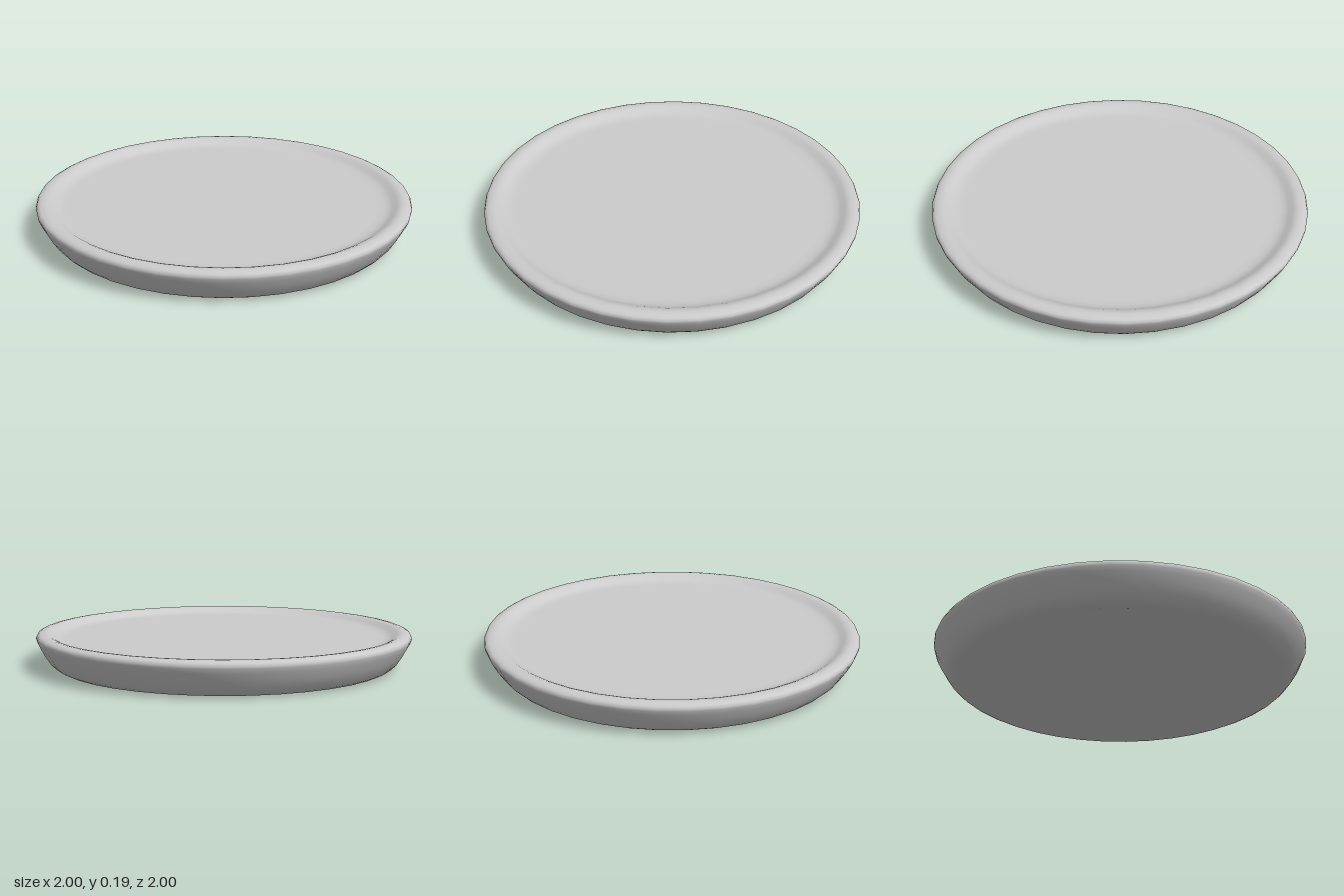
import * as THREE from 'three';

export function createModel() {
  const group = new THREE.Group();
  const material = new THREE.MeshStandardMaterial({ color: 0xcccccc });

  // Outer body: shallow recess underneath, foot, flared wall, rounded lip, dished top
  const profile = [
    [0, 0.014], [0.79, 0.014], [0.82, 0.011], [0.845, 0.003], [0.865, 0],
    [0.885, 0.003], [0.91, 0.016], [0.935, 0.04], [0.965, 0.085], [0.988, 0.127],
    [0.998, 0.15], [1, 0.163], [0.994, 0.176], [0.98, 0.183], [0.957, 0.187],
    [0.938, 0.185], [0.92, 0.178], [0.9, 0.166], [0.88, 0.158], [0.855, 0.154],
    [0.82, 0.153], [0, 0.153],
  ].map(([r, y]) => new THREE.Vector2(r, y));

  const plate = new THREE.Mesh(new THREE.LatheGeometry(profile, 40), material);
  plate.name = 'plate';
  group.add(plate);
  return group;
}
